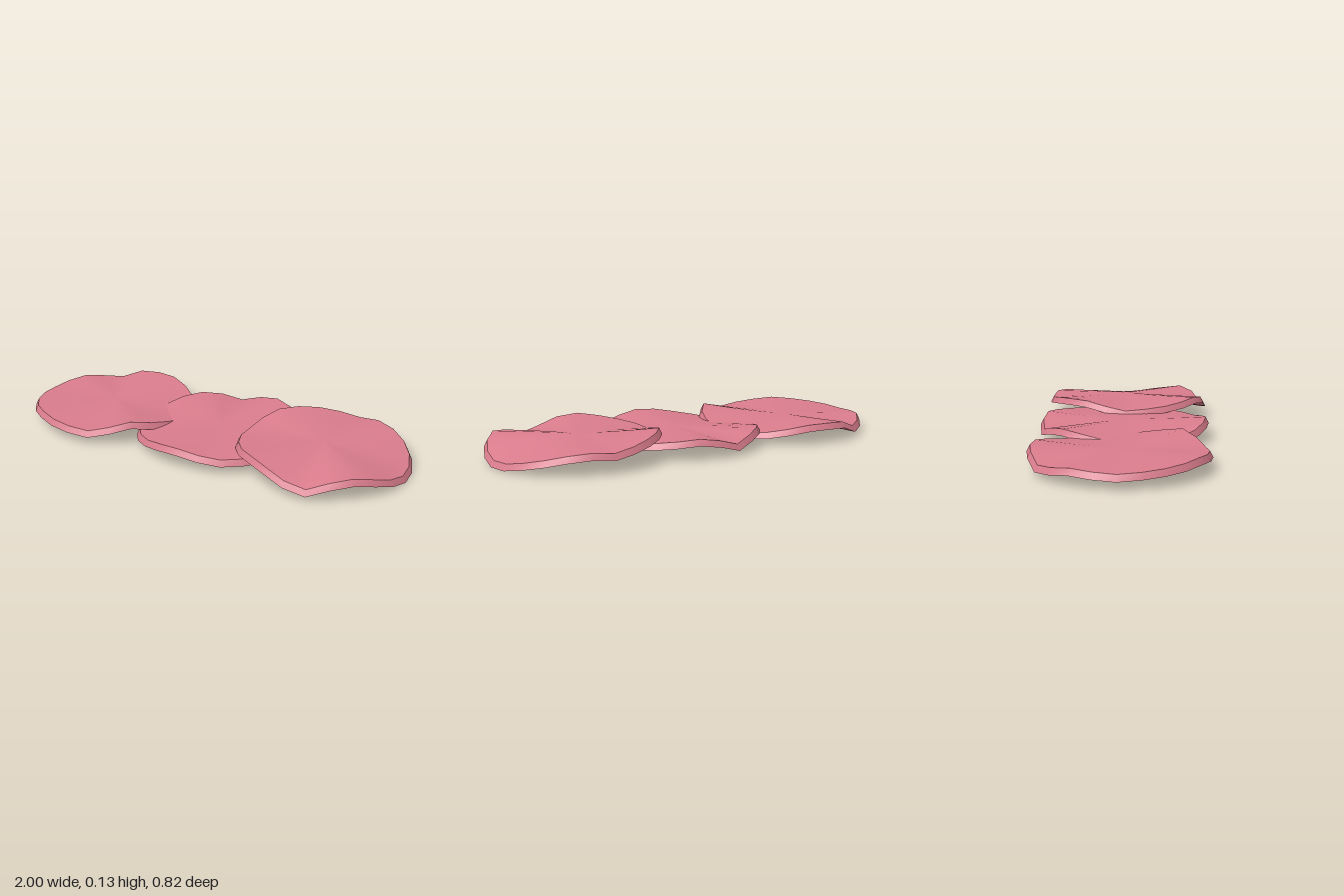
import * as THREE from 'three';
import { toCreasedNormals } from 'three/addons/utils/BufferGeometryUtils.js';

const SEGMENTS = 24, RINGS = 6, THICKNESS = 0.03;

// Rim height at an angle, eased between [degrees, height] pairs (0 = +x, 90 = front)
function rimHeight(rim, deg) {
  const n = rim.length;
  for (let i = 0; i < n; i++) {
    const [a, ha] = rim[i];
    let [b, hb] = rim[(i + 1) % n];
    if (b <= a) b += 360;
    const d = deg < a ? deg + 360 : deg;
    if (d >= a && d <= b) {
      return THREE.MathUtils.lerp(ha, hb, (d - a) / (b - a));
    }
  }
  return rim[0][1];
}

// A thin wavy slice: fan of rings for the top, the same below, and a sloped rim
function sliceGeometry(rim, centre) {
  const pos = [], index = [];
  const addSheet = (radius, drop) => {
    const start = pos.length / 3;
    pos.push(0, centre - drop, 0);
    for (let r = 1; r <= RINGS; r++) {
      const t = r / RINGS;
      for (let s = 0; s < SEGMENTS; s++) {
        const a = (s / SEGMENTS) * Math.PI * 2;
        const y = THREE.MathUtils.lerp(centre, rimHeight(rim, s * 360 / SEGMENTS), t ** 1.5);
        pos.push(Math.cos(a) * radius * t, y - drop, Math.sin(a) * radius * t);
      }
    }
    return start;
  };
  const top = addSheet(0.396, 0);
  const bottom = addSheet(0.411, THICKNESS);
  const at = (sheet, r, s) => sheet + 1 + (r - 1) * SEGMENTS + (s % SEGMENTS);
  for (let s = 0; s < SEGMENTS; s++) {
    index.push(top, at(top, 1, s + 1), at(top, 1, s));
    index.push(bottom, at(bottom, 1, s), at(bottom, 1, s + 1));
    for (let r = 1; r < RINGS; r++) {
      const quad = (sh) => [at(sh, r, s), at(sh, r, s + 1), at(sh, r + 1, s + 1), at(sh, r + 1, s)];
      const [a, b, c, d] = quad(top);
      index.push(a, b, c, a, c, d);
      const [e, f, g, h] = quad(bottom);
      index.push(e, g, f, e, h, g);
    }
    // rim
    const a = at(top, RINGS, s), b = at(top, RINGS, s + 1);
    const c = at(bottom, RINGS, s + 1), d = at(bottom, RINGS, s);
    index.push(a, b, c, a, c, d);
  }
  const geo = new THREE.BufferGeometry();
  geo.setAttribute('position', new THREE.Float32BufferAttribute(pos, 3));
  geo.setIndex(index);
  return toCreasedNormals(geo, 0.6);
}

export function createModel() {
  const group = new THREE.Group();
  group.name = 'slicedMeat';
  const material = new THREE.MeshStandardMaterial({ color: 0xd97c8c });

  const slices = [
    {
      name: 'rightSlice', x: -0.587, centre: 0.09,
      rim: [[0, 0.065], [45, 0.122], [75, 0.075], [120, 0.1], [180, 0.075],
        [217, 0.09], [235, 0.05], [258, 0.108], [285, 0.105], [320, 0.065]],
    },
    {
      name: 'middleSlice', x: 0.035, centre: 0.092,
      rim: [[0, 0.065], [30, 0.075], [60, 0.075], [95, 0.112], [125, 0.08], [150, 0.06],
        [180, 0.062], [220, 0.105], [237, 0.095], [254, 0.06], [280, 0.112], [315, 0.09]],
    },
    {
      name: 'leftSlice', x: 0.589, centre: 0.118,
      rim: [[15, 0.06], [42, 0.113], [60, 0.095], [78, 0.05], [105, 0.12], [120, 0.135],
        [150, 0.115], [180, 0.1], [213, 0.145], [235, 0.135], [270, 0.1], [290, 0.115],
        [330, 0.06], [354, 0.031]],
    },
  ];
  for (const { name, x, centre, rim } of slices) {
    const mesh = new THREE.Mesh(sliceGeometry(rim, centre), material);
    mesh.name = name;
    mesh.position.x = x;
    group.add(mesh);
  }
  return group;
}
